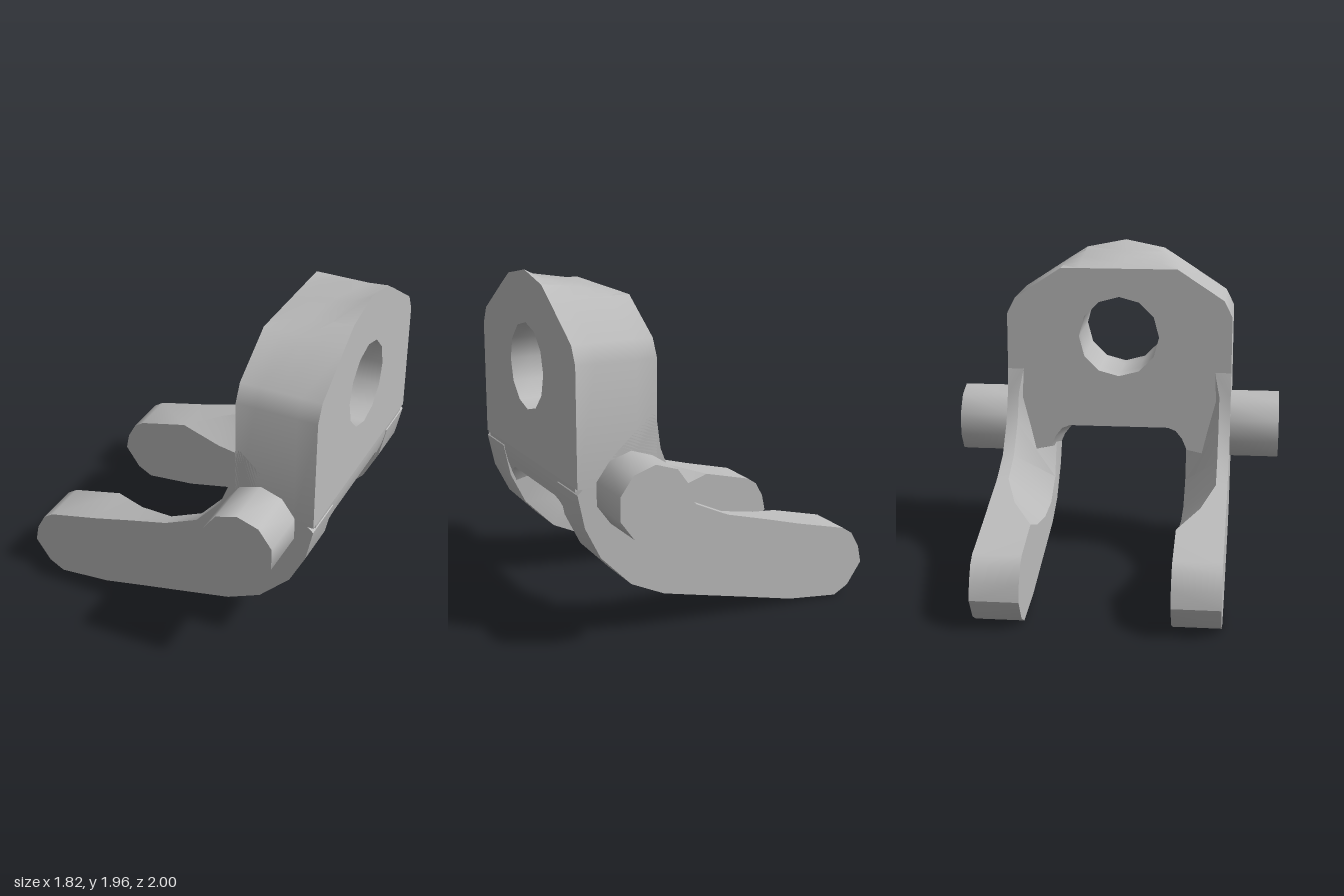
import * as THREE from 'three';
import { toCreasedNormals } from 'three/addons/utils/BufferGeometryUtils.js';

const metal = new THREE.MeshStandardMaterial({ color: 0xbcbcbc });
metal.name = 'plain grey';

function part(name, geometry, crease = 0.55) {
  const mesh = new THREE.Mesh(toCreasedNormals(geometry, crease), metal);
  mesh.name = name;
  return mesh;
}

// Upright lug with a round eye; its top slopes down towards the arms
function eyePlate() {
  const half = [[0.7, 0.88], [0.7, 1.55], [0.65, 1.65], [0.36, 1.84], [0.25, 1.91]];
  const outline = [...half, [0, 1.96], ...half.map(([z, y]) => [-z, y]).reverse()];
  const shape = new THREE.Shape(outline.map(([z, y]) => new THREE.Vector2(z, y)));
  const eye = new THREE.Path();
  eye.absarc(0, 1.415, 0.25, 0, Math.PI * 2, true);
  shape.holes.push(eye);
  const geo = new THREE.ExtrudeGeometry(shape, { depth: 0.47, steps: 4, curveSegments: 6, bevelEnabled: false });
  geo.rotateY(Math.PI / 2).translate(0.44, 0, 0);
  const p = geo.attributes.position;
  for (let i = 0; i < p.count; i++) {
    const x = p.getX(i);
    const limit = x < 0.8 ? 1.84 + 0.17 * (x - 0.44) : 1.9 + 0.55 * (x - 0.8);
    p.setY(i, Math.min(p.getY(i), limit));
  }
  return part('eyePlate', geo);
}

// Rounded web under the lug, arched between the arms
function bridge() {
  const stations = [[0.66, 0.55], [0.43, 0.6], [0.4, 0.67], [0.36, 0.72], [0.31, 0.74]];
  const all = [...stations.map(([z, b]) => [-z, b]), ...[...stations].reverse()];
  const n = all.length - 1;
  const rearEdge = (y) => 0.91 - 0.62 * Math.pow(Math.max(0, 0.89 - y), 1.6);
  const geo = new THREE.BoxGeometry(1, 1, 1, 1, 4, n);
  const p = geo.attributes.position;
  for (let i = 0; i < p.count; i++) {
    const [z, bottom] = all[Math.round((p.getZ(i) + 0.5) * n)];
    const rear = p.getX(i) > 0;
    const low = rear ? bottom : bottom + 0.1;
    const y = THREE.MathUtils.lerp(low, 0.89, p.getY(i) + 0.5);
    p.setXYZ(i, rear ? rearEdge(y) : 0.44, y, z);
  }
  return part('bridge', geo, 0.7);
}

// Bent arm lofted from tip to lug: lower point, upper point,
// z of the upper inner edge, height fraction where the inner scoop starts
const armStations = [
  [-0.91, 0.18, -0.89, 0.28, 0.42, 1],
  [-0.82, 0.05, -0.84, 0.37, 0.42, 1],
  [-0.73, 0.0, -0.78, 0.41, 0.42, 1],
  [-0.42, 0.03, -0.47, 0.485, 0.42, 1],
  [-0.15, 0.09, -0.25, 0.545, 0.55, 0.68],
  [0.15, 0.155, 0, 0.61, 0.63, 0.42],
  [0.4, 0.21, 0.2, 0.7, 0.63, 0.3],
  [0.6, 0.3, 0.35, 0.87, 0.63, 0.3],
  [0.78, 0.48, 0.42, 1.05, 0.63, 0.45],
  [0.87, 0.66, 0.44, 1.2, 0.6, 0.6],
  [0.91, 0.85, 0.46, 1.26, 0.6, 0.6],
];

function arm(name, side) {
  const points = [];
  const index = [];
  const tri = (a, b, c) => index.push(...(side > 0 ? [a, b, c] : [a, c, b]));
  for (const [bx, by, tx, ty, zi, f] of armStations) {
    const sx = bx + (tx - bx) * f, sy = by + (ty - by) * f;
    points.push(bx, by, 0.7 * side, tx, ty, 0.7 * side, tx, ty, zi * side,
      sx, sy, 0.42 * side, bx, by, 0.42 * side);
  }
  const last = (armStations.length - 1) * 5;
  for (let r = 0; r < last; r += 5) {
    for (let j = 0; j < 5; j++) {
      const k = (j + 1) % 5;
      tri(r + j, r + 5 + j, r + 5 + k);
      tri(r + j, r + 5 + k, r + k);
    }
  }
  for (let j = 1; j < 4; j++) {
    tri(0, j, j + 1);
    tri(last, last + j + 1, last + j);
  }
  const geo = new THREE.BufferGeometry();
  geo.setAttribute('position', new THREE.Float32BufferAttribute(points, 3));
  geo.setIndex(index);
  return part(name, geo, 0.5);
}

// Short pivot pin on the outer side of each arm
function pin(name, side) {
  const geo = new THREE.CylinderGeometry(0.215, 0.215, 0.34, 10);
  geo.rotateX(Math.PI / 2).translate(0.595, 0.843, 0.83 * side);
  return part(name, geo, 0.7);
}

export function createModel() {
  const model = new THREE.Group();
  model.name = 'forkBracket';
  model.add(eyePlate(), bridge());
  for (const [label, side] of [['front', 1], ['back', -1]]) {
    model.add(arm(label + 'Arm', side), pin(label + 'Pin', side));
  }
  return model;
}
